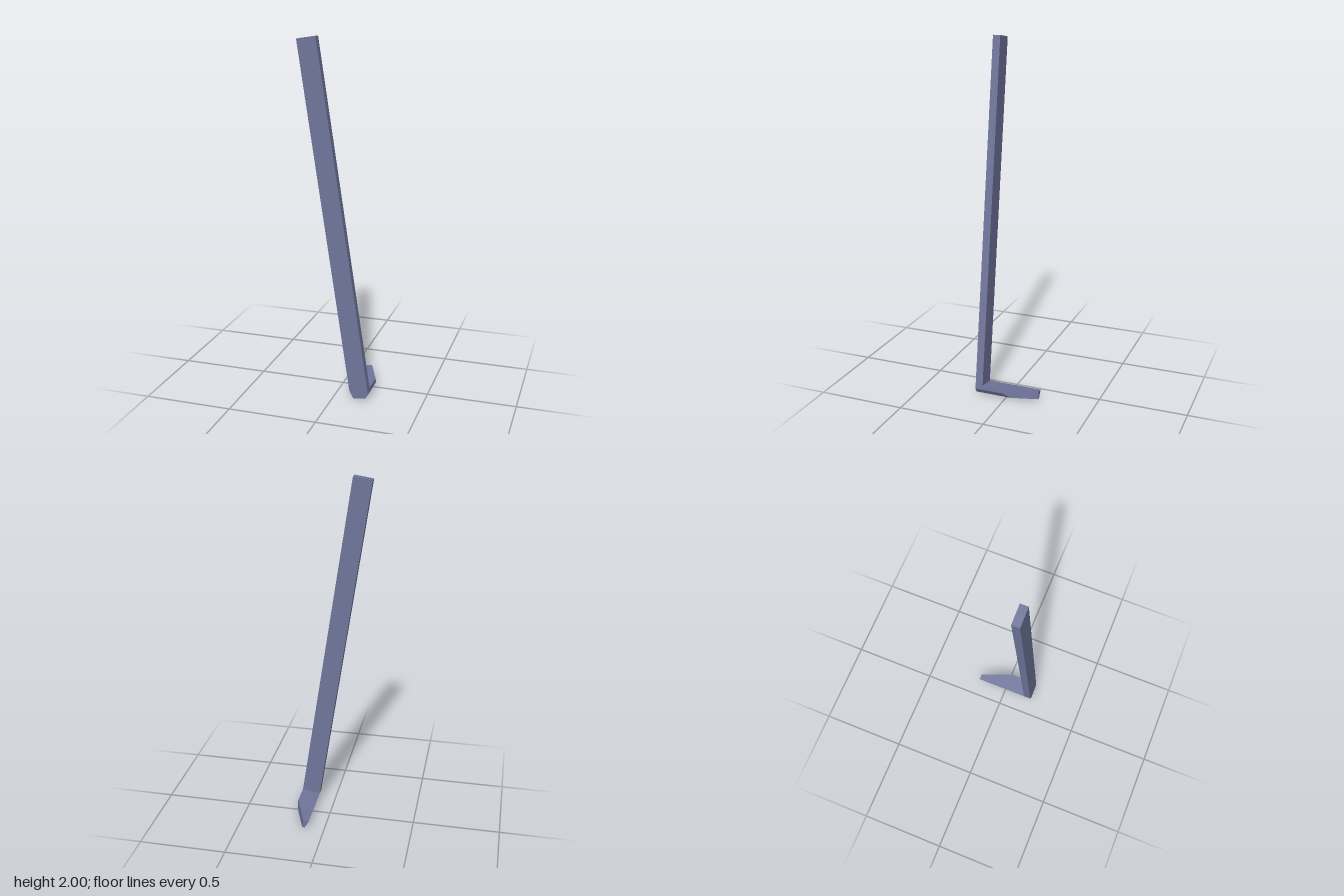
import * as THREE from 'three';
import { ConvexGeometry } from 'three/addons/geometries/ConvexGeometry.js';

export function createModel() {
  const model = new THREE.Group();
  model.name = 'angleBracket';
  const material = new THREE.MeshStandardMaterial({ color: 0x70769c, flatShading: true });

  // Bracket dimensions in its own upright frame
  const left = 0.0965, right = 0.203, bottom = -0.017, top = 1.992;
  const footTop = 0.03, front = 0.178, inner = 0.135, back = -0.178;

  // Bevelled lower edge shared by the bar and the foot
  const lowerEdge = [[left, footTop], [0.114, bottom], [0.1845, bottom], [right, 0.006]];

  // Long flat bar
  const outline = [...lowerEdge, [right, top], [left, top]];
  const barShape = new THREE.Shape(outline.map(([x, y]) => new THREE.Vector2(x, y)));
  const barGeometry = new THREE.ExtrudeGeometry(barShape, { depth: front - inner, bevelEnabled: false });
  barGeometry.translate(0, 0, inner);
  const bar = new THREE.Mesh(barGeometry, material);
  bar.name = 'bar';

  // Short foot reaching backwards, with its outer back corner cut off diagonally
  const cutX = 0.1285, cutZ = 0.01;
  const backZ = (x) => back + (Math.max(0, x - cutX) / (right - cutX)) * (cutZ - back);
  const section = [...lowerEdge, [right, footTop], [cutX, footTop], [cutX, bottom]];
  const corners = section.flatMap(([x, y]) => [
    new THREE.Vector3(x, y, inner),
    new THREE.Vector3(x, y, backZ(x)),
  ]);
  const foot = new THREE.Mesh(new ConvexGeometry(corners), material);
  foot.name = 'foot';

  // The whole bracket leans sideways
  const bracket = new THREE.Group();
  bracket.name = 'leaningBracket';
  bracket.add(bar, foot);
  bracket.rotation.z = 0.1485;
  model.add(bracket);
  return model;
}
